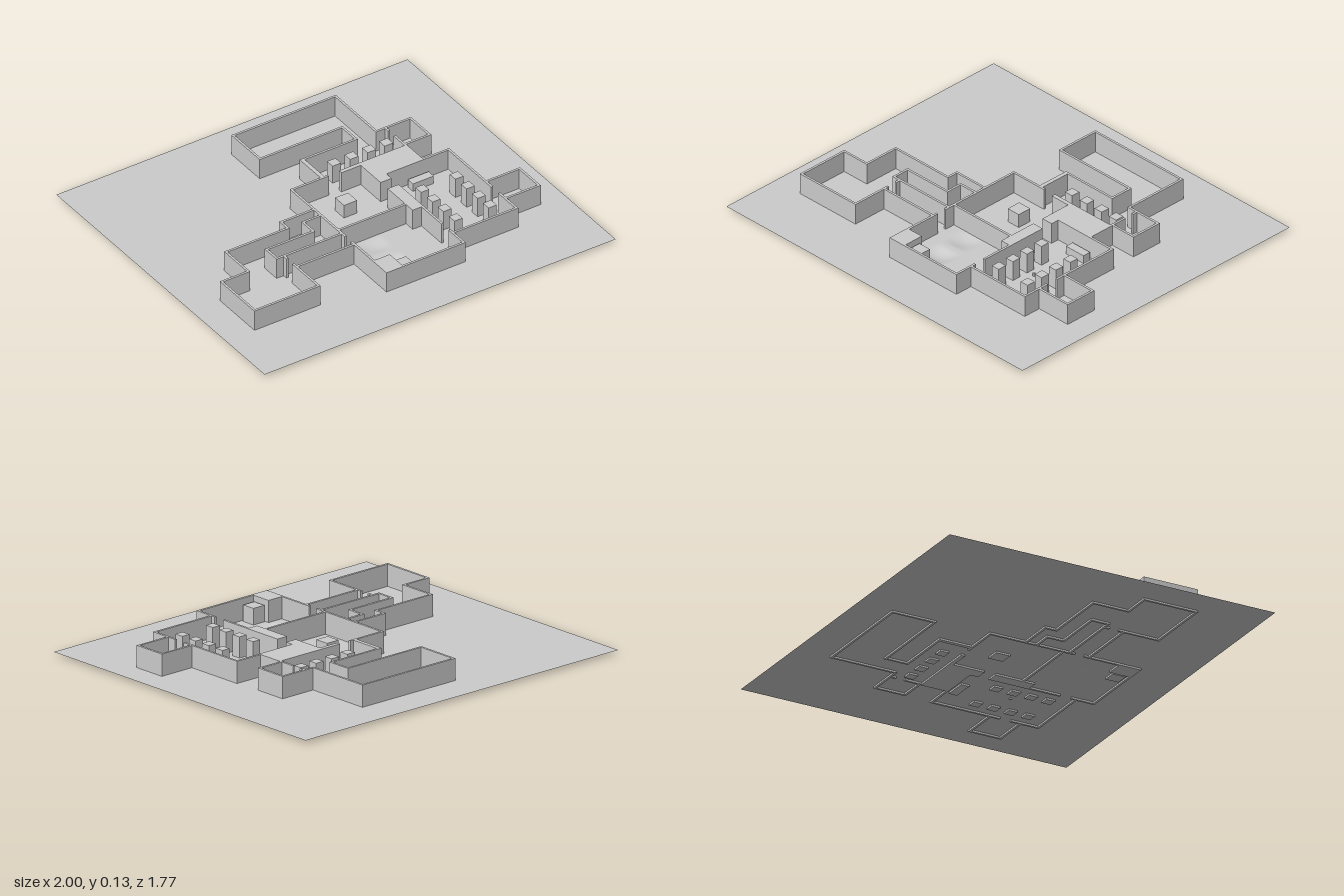
import * as THREE from 'three';

const BASE = 0.008, TOP = 0.128, T = 0.012, GROUND = 0.017;

export function createModel() {
  const model = new THREE.Group();
  const material = new THREE.MeshStandardMaterial({ color: 0xcccccc, flatShading: true });

  // Box given by its plan extents and top height
  function block(name, x0, x1, z0, z1, top = TOP, parent = model) {
    const mesh = new THREE.Mesh(new THREE.BoxGeometry(x1 - x0, top - BASE, z1 - z0), material);
    mesh.position.set((x0 + x1) / 2, (top + BASE) / 2, (z0 + z1) / 2);
    mesh.name = name;
    parent.add(mesh);
  }

  // Run of thin straight walls along a plan path of [x, z] points
  function walls(name, path) {
    const group = new THREE.Group();
    group.name = name;
    const h = T / 2;
    for (let i = 1; i < path.length; i++) {
      const [ax, az] = path[i - 1], [bx, bz] = path[i];
      block('wall', Math.min(ax, bx) - h, Math.max(ax, bx) + h,
        Math.min(az, bz) - h, Math.max(az, bz) + h, TOP, group);
    }
    model.add(group);
  }

  // Ground sheet with two shallow pits in the hall floor
  const pits = [
    { x: 0.005, z: 0.295, rx: 0.08, rz: 0.065, depth: 0.012 },
    { x: 0.005, z: 0.463, rx: 0.08, rz: 0.065, depth: 0.017 },
  ];
  const sheet = new THREE.PlaneGeometry(2, 1.775, 160, 142).rotateX(-Math.PI / 2);
  const p = sheet.attributes.position;
  for (let i = 0; i < p.count; i++) {
    let y = GROUND;
    for (const pit of pits) {
      const u = Math.abs(p.getX(i) - pit.x) / pit.rx, v = Math.abs(p.getZ(i) - pit.z) / pit.rz;
      if (u < 1 && v < 1) y -= pit.depth * Math.cos(u * Math.PI / 2) * Math.cos(v * Math.PI / 2);
    }
    p.setY(i, y);
  }
  sheet.computeVertexNormals();
  const ground = new THREE.Mesh(sheet,
    new THREE.MeshStandardMaterial({ color: 0xcccccc, side: THREE.DoubleSide }));
  ground.name = 'ground';
  model.add(ground);

  // Back room, gallery and closet
  walls('backRoomWalls', [[0.04, -0.35], [0.348, -0.35], [0.348, -0.468], [-0.12, -0.468],
    [-0.12, -0.698], [0.463, -0.698], [0.463, -0.35], [0.658, -0.35], [0.658, -0.187], [0.515, -0.187]]);
  walls('closetDoorWall', [[0.515, -0.35], [0.515, -0.325]]);
  block('galleryLeftWall', 0.031, 0.052, -0.356, -0.168);

  // Left wing
  walls('leftWingWalls', [[0.065, -0.174], [-0.137, -0.174], [-0.137, 0.019], [-0.326, 0.019],
    [-0.326, 0.078], [-0.679, 0.078], [-0.679, 0.27], [-0.832, 0.27], [-0.832, 0.553],
    [-0.468, 0.553], [-0.468, 0.363], [-0.137, 0.363]]);
  walls('leftRoomDoorWallFront', [[-0.468, 0.363], [-0.468, 0.342]]);
  walls('leftRoomDoorWallBack', [[-0.468, 0.257], [-0.468, 0.28]]);
  walls('corridorIslandWalls', [[-0.137, 0.078], [-0.24, 0.078], [-0.24, 0.167],
    [-0.508, 0.167], [-0.508, 0.257], [-0.137, 0.257]]);

  // Front hall and right room
  walls('centreRoomLeftWall', [[-0.137, 0.019], [-0.137, 0.28]]);
  walls('hallBackWall', [[-0.137, 0.224], [0.25, 0.224]]);
  walls('hallWalls', [[-0.137, 0.342], [-0.137, 0.639], [0.302, 0.639], [0.302, 0.522]]);
  walls('hallRightWall', [[0.302, 0.28], [0.302, 0.45]]);
  walls('rightRoomWalls', [[0.302, 0.543], [0.666, 0.543], [0.666, 0.4]]);
  walls('rightAlcoveWalls', [[0.666, 0.447], [0.858, 0.447], [0.858, 0.281], [0.666, 0.281]]);
  walls('rightRoomBackWalls', [[0.666, 0.328], [0.666, -0.037], [0.515, -0.037], [0.515, -0.264]]);

  // Solid masses between the rooms
  block('galleryFrontWall', 0.136, 0.25, -0.178, -0.157);
  block('solidCore', 0.246, 0.52, -0.178, -0.031);
  block('solidCoreFoot', 0.246, 0.308, -0.031, 0.013);
  block('doorPier', 0.246, 0.308, 0.073, 0.286);
  block('hallCornerBlock', -0.143, -0.046, 0.527, 0.645);

  // Pillars
  for (const x of [0.387, 0.582])
    for (const z of [0.157, 0.253, 0.347, 0.441])
      block('roomPillar', x - 0.023, x + 0.023, z - 0.024, z + 0.024, 0.123);
  for (const x of [0.165, 0.265, 0.365, 0.462])
    block('galleryPillar', x - 0.024, x + 0.024, -0.288, -0.24, 0.115);

  // Free-standing blocks
  block('centrePedestal', 0.027, 0.101, -0.048, 0.028, 0.09);
  block('hallPedestal', -0.039, 0.031, 0.549, 0.62, 0.1);
  block('altar', 0.42, 0.538, -0.016, 0.028, 0.06);
  block('marker', 0.447, 0.457, 0.266, 0.276, 0.035);

  return model;
}
